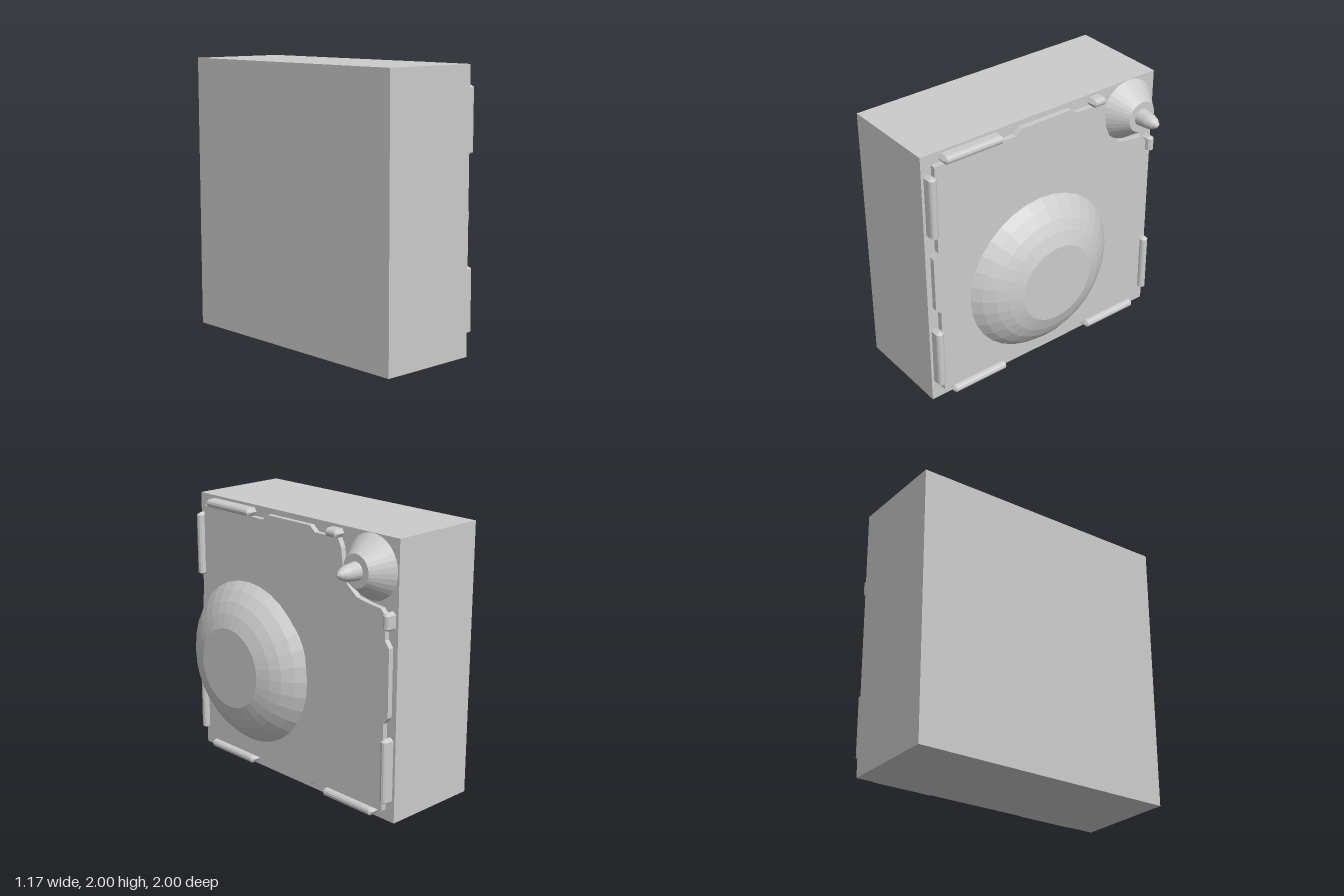
import * as THREE from 'three';

const grey = new THREE.MeshStandardMaterial({ color: 0xcccccc, flatShading: true });

function add(parent, geometry, name) {
  const mesh = new THREE.Mesh(geometry, grey);
  mesh.name = name;
  parent.add(mesh);
  return mesh;
}

// Flat outline given as [z, y] pairs, clockwise in z, extruded along +x
function slab(points, x, depth) {
  const shape = new THREE.Shape(points.map(([z, y]) => new THREE.Vector2(-z, y)));
  return new THREE.ExtrudeGeometry(shape, { depth, bevelEnabled: false })
    .rotateY(Math.PI / 2).translate(x, 0, 0);
}

// Profile of [x, radius] pairs turned about an axis along +x
function turned(profile, y, z, segments) {
  return new THREE.LatheGeometry(profile.map(([x, r]) => new THREE.Vector2(r, x)), segments)
    .rotateZ(-Math.PI / 2).translate(0, y, z);
}

// Raised strip with a rounded crown and pointed ends
function strip(length, y, z, vertical) {
  const group = new THREE.Group();
  group.name = 'edgeStrip';
  const r = 0.03, h = length / 2, s = h - 0.02;
  add(group, slab([[r, -s], [0, -h], [-r, -s], [-r, s], [0, h], [r, s]], 0.16, 0.05), 'stripBase');
  const crown = new THREE.LatheGeometry(
    [[0, -h], [r, -s], [r, s], [0, h]].map(([a, b]) => new THREE.Vector2(a, b)), 12);
  add(group, crown.translate(0.21, 0, 0), 'stripCrown');
  group.position.set(0, y, z);
  if (!vertical) group.rotation.x = Math.PI / 2;
  return group;
}

export function createModel() {
  const model = new THREE.Group();
  model.name = 'controlBox';

  // Main housing
  add(model, new THREE.BoxGeometry(0.75, 2, 2).translate(-0.215, 1, 0), 'housing');

  // Face plate with edge tabs and a scooped corner
  add(model, slab([
    [0.92, 0.08], [0.27, 0.08], [0.22, 0.04], [-0.21, 0.04], [-0.26, 0.08], [-0.92, 0.08],
    [-0.92, 0.72], [-0.96, 0.77], [-0.96, 1.26], [-0.92, 1.31], [-0.92, 1.48],
    [-0.88, 1.52], [-0.78, 1.53], [-0.66, 1.55], [-0.57, 1.62], [-0.53, 1.72], [-0.51, 1.86], [-0.48, 1.92],
    [-0.21, 1.92], [-0.26, 1.92], [-0.21, 1.96], [0.22, 1.96], [0.27, 1.92], [0.92, 1.92],
    [0.92, 1.26], [0.96, 1.22], [0.96, 0.8], [0.92, 0.76],
  ].filter((p, i) => i !== 18), 0.16, 0.04), 'facePlate');

  // Strips round the edge: length, y, z, vertical
  [
    [0.48, 1.95, 0.62, false], [0.12, 1.95, -0.44, false],
    [0.48, 0.05, 0.62, false], [0.48, 0.05, -0.61, false],
    [0.48, 1.625, 0.95, true], [0.48, 0.385, 0.95, true],
    [0.13, 1.445, -0.95, true], [0.48, 0.385, -0.95, true],
  ].forEach((s) => model.add(strip(...s)));

  // Large push knob
  const knob = new THREE.Group();
  knob.name = 'knob';
  model.add(knob);
  add(knob, turned([[0.19, 0.382], [0.39, 0.382]], 0.92, 0.21, 32), 'knobStem');
  add(knob, turned([
    [0.39, 0], [0.39, 0.593], [0.45, 0.54], [0.51, 0.465], [0.55, 0.39], [0.585, 0.29], [0.585, 0],
  ], 0.92, 0.21, 32), 'knobCap');

  // Corner cone with a pointed tip
  const corner = new THREE.Group();
  corner.name = 'cornerCone';
  model.add(corner);
  add(corner, turned([[0.16, 0.228], [0.315, 0.115], [0.315, 0]], 1.77, -0.76, 32), 'cone');
  add(corner, turned([
    [0.315, 0.064], [0.4, 0.055], [0.44, 0.042], [0.47, 0.022], [0.485, 0],
  ], 1.77, -0.76, 24), 'coneTip');

  return model;
}
